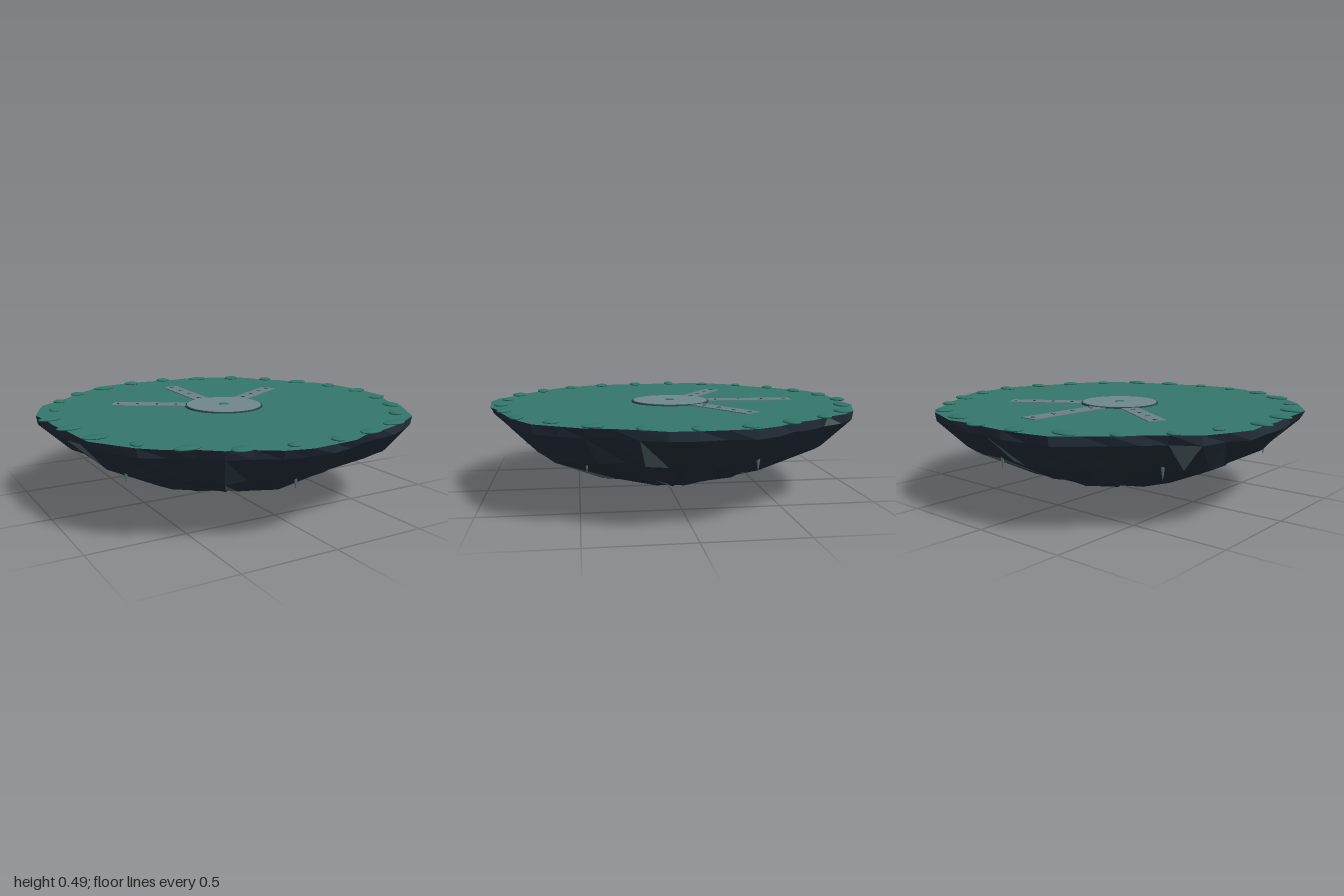
import * as THREE from 'three';

const mat = (name, color, extra = {}) => new THREE.MeshStandardMaterial({ name, color, ...extra });

// Rim radius every 7.5 degrees, starting at +x and turning towards +z
const RIM = [
  0.98, 0.983, 0.95, 0.94, 0.97, 0.974, 0.995, 0.97, 0.95, 0.935, 0.922, 0.955,
  0.96, 0.98, 0.975, 0.94, 0.95, 0.937, 0.965, 0.98, 0.98, 0.995, 0.965, 0.948,
  0.96, 0.968, 1.01, 1.005, 1.01, 0.965, 0.95, 0.97, 0.975, 1.01, 0.99, 0.975,
  0.96, 0.954, 0.99, 0.985, 1.0, 0.985, 0.945, 0.95, 0.935, 0.973, 0.99, 0.978,
];
// Edge mounds, evenly spaced by angle: distance, half width in x, half width in z
const MOUNDS = [
  [0.94, 0.058, 0.035], [0.925, 0.053, 0.035], [0.92, 0.04, 0.05], [0.915, 0.033, 0.037], [0.935, 0.065, 0.035],
  [0.915, 0.06, 0.035], [0.91, 0.032, 0.035], [0.91, 0.03, 0.03], [0.935, 0.055, 0.04], [0.93, 0.065, 0.035],
  [0.93, 0.03, 0.035], [0.93, 0.063, 0.038], [0.925, 0.06, 0.037], [0.95, 0.058, 0.03], [0.92, 0.027, 0.037],
  [0.945, 0.033, 0.028], [0.945, 0.04, 0.032], [0.93, 0.065, 0.036], [0.94, 0.045, 0.042], [0.95, 0.045, 0.04],
  [0.925, 0.06, 0.037], [0.945, 0.047, 0.042], [0.935, 0.037, 0.035], [0.92, 0.06, 0.04], [0.93, 0.04, 0.04],
];
const TOP = 0.476;

export function createModel() {
  const model = new THREE.Group();
  model.name = 'floatingIsland';
  const grass = mat('grass', 0x35786c);
  const moss = mat('moss', 0x2f7567);
  const rock = mat('darkRock', 0x26323d, { flatShading: true });
  const paleRock = mat('paleRock', 0x5b7074, { flatShading: true });
  const stone = mat('plazaStone', 0x71888c);
  const paving = mat('pathStone', 0x6c8286);
  const dark = mat('darkStone', 0x2b444a);

  const add = (name, geometry, material, x = 0, y = 0, z = 0, parent = model) => {
    const mesh = new THREE.Mesh(geometry, material);
    mesh.name = name;
    mesh.position.set(x, y, z);
    parent.add(mesh);
    return mesh;
  };
  let seed = 7;
  const rand = () => (seed = (seed * 16807) % 2147483647) / 2147483647;

  // Flat grassy top with the irregular rim
  const n = RIM.length;
  const angle = i => (i / n) * Math.PI * 2;
  const outline = RIM.map((r, i) => new THREE.Vector2(r * Math.cos(angle(i)), -r * Math.sin(angle(i))));
  add('grassTop', new THREE.ShapeGeometry(new THREE.Shape(outline)).rotateX(-Math.PI / 2), grass, 0, TOP, 0);

  // Pleated rock underside: rings of [share of rim radius, height, roughness]
  const rings = [[1, TOP, 0], [0.985, 0.43, 0.015], [0.83, 0.285, 0.045], [0.525, 0.15, 0.06], [0.19, 0.05, 0.12]]
    .map(([share, y, rough]) => RIM.map((r, i) => {
      const k = r * share * (1 + (rand() - 0.5) * 2 * rough);
      const lift = (rand() - 0.5) * rough * 0.3;
      return [k * Math.cos(angle(i)), y + lift, k * Math.sin(angle(i))];
    }));
  rings.push(RIM.map(() => [0, 0, 0]));
  const darkFaces = [], paleFaces = [];
  const face = (...corners) => (rand() < 0.035 ? paleFaces : darkFaces).push(...corners.flat());
  for (let j = 0; j < rings.length - 1; j++) {
    for (let i = 0; i < n; i++) {
      const k = (i + 1) % n;
      const [u0, u1, l0, l1] = [rings[j][i], rings[j][k], rings[j + 1][i], rings[j + 1][k]];
      face(u0, u1, l0);
      if (j < rings.length - 2) face(u1, l1, l0);
    }
  }
  const shell = new THREE.BufferGeometry();
  shell.setAttribute('position', new THREE.Float32BufferAttribute([...darkFaces, ...paleFaces], 3));
  shell.addGroup(0, darkFaces.length / 3, 0);
  shell.addGroup(darkFaces.length / 3, paleFaces.length / 3, 1);
  shell.computeVertexNormals();
  add('rockUnderside', shell, [rock, paleRock]);

  // Six small hanging spikes
  for (let i = 0; i < 6; i++) {
    const a = THREE.MathUtils.degToRad(36 + i * 60);
    add('hangingSpike', new THREE.ConeGeometry(0.014, 0.09, 6).rotateX(Math.PI), paleRock,
      0.79 * Math.cos(a), 0.275, 0.79 * Math.sin(a));
  }

  // Flattened mossy mounds round the edge
  const ball = new THREE.SphereGeometry(1, 20, 12);
  MOUNDS.forEach(([r, rx, rz], i) => {
    const a = (i / MOUNDS.length) * Math.PI * 2;
    add('mossMound', ball, moss, r * Math.cos(a), 0.48, r * Math.sin(a) - 0.006).scale.set(rx, 0.01, rz);
  });

  // Three straight paths, each with small dark marker stones
  const path = (x0, z0, x1, z1) => {
    const group = new THREE.Group();
    group.name = 'path';
    const length = Math.hypot(x1 - x0, z1 - z0);
    add('paving', new THREE.BoxGeometry(length, 0.004, 0.093), paving, 0, 0, 0, group);
    for (let i = 0; i < 4; i++) {
      add('markerStone', new THREE.BoxGeometry(0.012, 0.004, 0.022), dark, length * (0.24 * i - 0.28), 0.002, 0, group);
    }
    group.position.set((x0 + x1) / 2, TOP + 0.002, (z0 + z1) / 2);
    group.rotation.y = -Math.atan2(z1 - z0, x1 - x0);
    model.add(group);
  };
  path(-0.03, -0.15, -0.007, -0.695);
  path(0.13, -0.11, 0.51, -0.35);
  path(-0.14, -0.11, -0.52, -0.35);

  // Round central plaza with a dark kerb and a mossy centre
  add('plazaKerb', new THREE.CylinderGeometry(0.212, 0.214, 0.008, 48), dark, -0.005, TOP + 0.003, -0.01);
  add('plaza', new THREE.CylinderGeometry(0.204, 0.207, 0.01, 48), stone, -0.005, TOP + 0.005, -0.01);
  add('plazaCentre', new THREE.CylinderGeometry(0.026, 0.026, 0.004, 16), moss, -0.005, TOP + 0.01, -0.01);

  return model;
}
